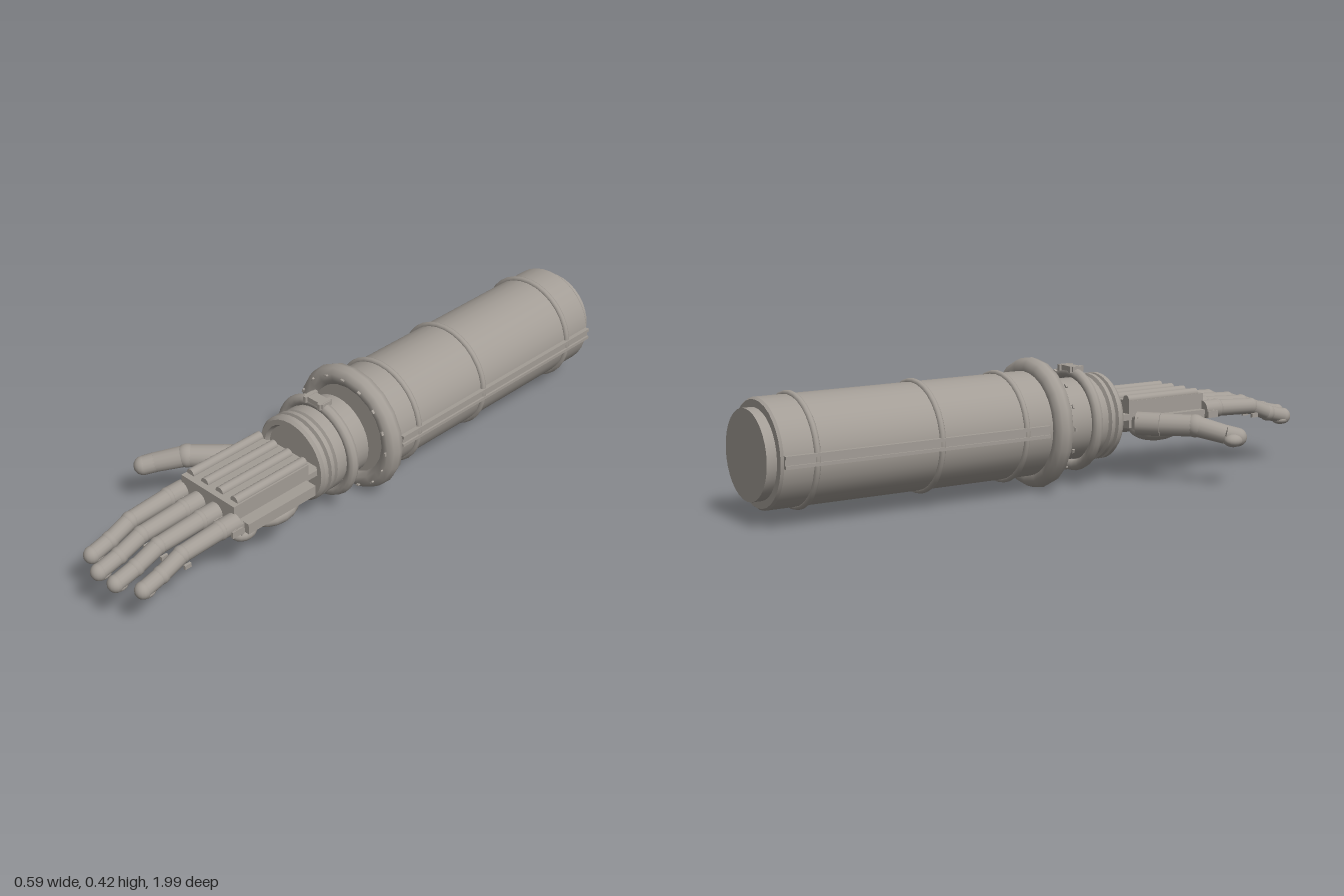
import * as THREE from 'three';
import { toCreasedNormals } from 'three/addons/utils/BufferGeometryUtils.js';

const CX = 0.087, CY = 0.211; // axis of the forearm

export function createModel() {
  const model = new THREE.Group();
  const grey = new THREE.MeshStandardMaterial({ color: 0xa39d96 });
  grey.name = 'warmGrey';

  const add = (name, geo, x = 0, y = 0, z = 0, parent = model) => {
    const mesh = new THREE.Mesh(geo, grey);
    mesh.name = name;
    mesh.position.set(x, y, z);
    parent.add(mesh);
    return mesh;
  };
  const box = (name, w, h, d, x, y, z, parent) =>
    add(name, new THREE.BoxGeometry(w, h, d), x, y, z, parent);
  const ball = (name, x, y, z, rx, ry, rz, parent) => {
    const mesh = add(name, new THREE.SphereGeometry(1, 16, 12), x, y, z, parent);
    mesh.scale.set(rx, ry, rz);
    return mesh;
  };
  // profile of [radius, z] from back to front, turned about the forearm axis
  const turned = (name, profile, seg = 32) => {
    const geo = new THREE.LatheGeometry(profile.map(([r, z]) => new THREE.Vector2(r, z)), seg);
    geo.rotateX(Math.PI / 2);
    return add(name, toCreasedNormals(geo, 0.6), CX, CY, 0);
  };
  const ring = (name, radius, tube, z, seg = 32) =>
    add(name, new THREE.TorusGeometry(radius, tube, 10, seg), CX, CY, z);
  // tapered tube between two points
  const limb = (name, a, b, ra, rb, parent) => {
    const dir = b.clone().sub(a);
    const mesh = add(name, new THREE.CylinderGeometry(rb, ra, dir.length(), 16), 0, 0, 0, parent);
    mesh.position.copy(a).add(b).multiplyScalar(0.5);
    mesh.quaternion.setFromUnitVectors(new THREE.Vector3(0, 1, 0), dir.normalize());
    return mesh;
  };

  // forearm sleeve with stepped end cap
  turned('sleeve', [[0, -1], [0.137, -1], [0.137, -0.968], [0.16, -0.968], [0.166, -0.96],
    [0.166, -0.01], [0.15, 0.005], [0, 0.005]]);
  for (const z of [-0.855, -0.44, -0.14]) ring('sleeveBand', 0.167, 0.01, z);
  for (const s of [-1, 1]) {
    for (const dy of [-0.014, 0.014])
      box('sideRail', 0.018, 0.01, 0.9, CX + s * 0.169, CY + dy, -0.51);
    box('sideStrip', 0.012, 0.024, 0.9, CX + s * 0.166, CY, -0.51);
  }

  // thick collar with a circle of small tabs
  const collar = ring('collar', 0.175, 0.033, -0.012, 20);
  collar.rotation.z = Math.PI / 2;
  for (let i = 0; i < 16; i++) {
    const a = i * Math.PI / 8;
    const tab = box('collarTab', 0.012, 0.005, 0.008,
      CX + 0.184 * Math.sin(a), CY + 0.184 * Math.cos(a), 0.029);
    tab.rotation.z = -a;
  }

  // wrist, ribbed cuff, strap ring and clasp
  turned('wrist', [[0, 0.046], [0.13, 0.046], [0.13, 0.16], [0, 0.16]]);
  turned('cuff', [[0.11, 0.15], [0.137, 0.15], [0.137, 0.185], [0.128, 0.19], [0.128, 0.195],
    [0.14, 0.2], [0.14, 0.213], [0.128, 0.217], [0.128, 0.222], [0.14, 0.226], [0.14, 0.24],
    [0.132, 0.25], [0.115, 0.25], [0.108, 0.235], [0, 0.235]]);
  ring('strapRing', 0.151, 0.018, 0.135);
  box('clasp', 0.08, 0.016, 0.036, CX, CY + 0.163, 0.135);
  for (const s of [-1, 1]) box('claspEnd', 0.012, 0.02, 0.052, CX + s * 0.03, CY + 0.162, 0.135);
  box('wristPlate', 0.225, 0.02, 0.08, CX - 0.003, 0.215, 0.265);

  // palm: hand back, side flanges, ribs and underside pads
  box('handBack', 0.228, 0.087, 0.3, 0.087, 0.2235, 0.435);
  box('palmBase', 0.27, 0.04, 0.285, 0.09, 0.195, 0.437);
  for (const s of [-1, 1]) box('palmFlange', 0.025, 0.035, 0.27, 0.092 + s * 0.138, 0.2, 0.432);
  for (let i = 0; i < 4; i++) {
    const x = -0.01 + i * 0.0633;
    const rib = add('tendonRib', new THREE.CylinderGeometry(0.016, 0.016, 0.28, 14), x, 0.268, 0.425);
    rib.rotation.x = Math.PI / 2;
    ball('knucklePad', -0.025 + i * 0.075, 0.165, 0.55, 0.035, 0.027, 0.045);
  }
  ball('thumbPad', 0.0, 0.165, 0.41, 0.068, 0.04, 0.092);
  ball('heelPad', 0.18, 0.165, 0.415, 0.065, 0.04, 0.09);

  // pin through the knuckles
  const pin = add('knucklePin', new THREE.CylinderGeometry(0.011, 0.011, 0.29, 12), 0.085, 0.203, 0.605);
  pin.rotation.z = Math.PI / 2;

  // four fingers: hinged base, two jointed segments and a rounded tip
  [[-0.028, 0], [0.047, 0.036], [0.121, 0.036], [0.198, 0]].forEach(([x, extra]) => {
    const finger = new THREE.Group();
    finger.name = 'finger';
    model.add(finger);
    const at = (y, z) => new THREE.Vector3(x, y, z + extra * (z - 0.58) / 0.355);
    const p = [at(0.213, 0.58), at(0.213, 0.64), at(0.206, 0.785), at(0.176, 0.862), at(0.159, 0.93)];
    limb('fingerBase', p[0], p[1], 0.03, 0.03, finger);
    limb('fingerSegment', p[1], p[2], 0.028, 0.026, finger);
    limb('fingerSegment', p[2], p[3], 0.026, 0.025, finger);
    limb('fingerTip', p[3], p[4], 0.025, 0.025, finger);
    ball('knuckle', p[1].x, p[1].y, p[1].z, 0.031, 0.031, 0.022, finger);
    for (const q of [p[2], p[3]]) ball('fingerJoint', q.x, q.y, q.z, 0.0275, 0.0275, 0.0275, finger);
    ball('fingerEnd', p[4].x, p[4].y, p[4].z, 0.026, 0.027, 0.026, finger);
    ball('fingerPad', x, 0.148, p[4].z - 0.01, 0.024, 0.016, 0.032, finger);
    for (const s of [-1, 1]) {
      box('hingeTab', 0.008, 0.022, 0.04, x + s * 0.031, 0.2, 0.6, finger);
      box('jointTab', 0.008, 0.014, 0.024, x + s * 0.024, 0.178, p[2].z, finger);
    }
  });

  // thumb
  const thumb = new THREE.Group();
  thumb.name = 'thumb';
  model.add(thumb);
  const t = [[-0.03, 0.193, 0.315], [-0.09, 0.193, 0.365], [-0.17, 0.193, 0.44],
    [-0.24, 0.168, 0.51], [-0.262, 0.16, 0.54]].map(v => new THREE.Vector3(...v));
  limb('thumbBase', t[0], t[1], 0.038, 0.038, thumb);
  limb('thumbSegment', t[1], t[2], 0.037, 0.035, thumb);
  limb('thumbSegment', t[2], t[3], 0.034, 0.031, thumb);
  limb('thumbTip', t[3], t[4], 0.031, 0.03, thumb);
  ball('thumbJoint', t[2].x, t[2].y, t[2].z, 0.037, 0.037, 0.037, thumb);
  ball('thumbEnd', t[4].x, t[4].y, t[4].z, 0.03, 0.03, 0.03, thumb);
  ball('thumbTipPad', -0.268, 0.153, 0.518, 0.028, 0.022, 0.034, thumb);

  return model;
}
